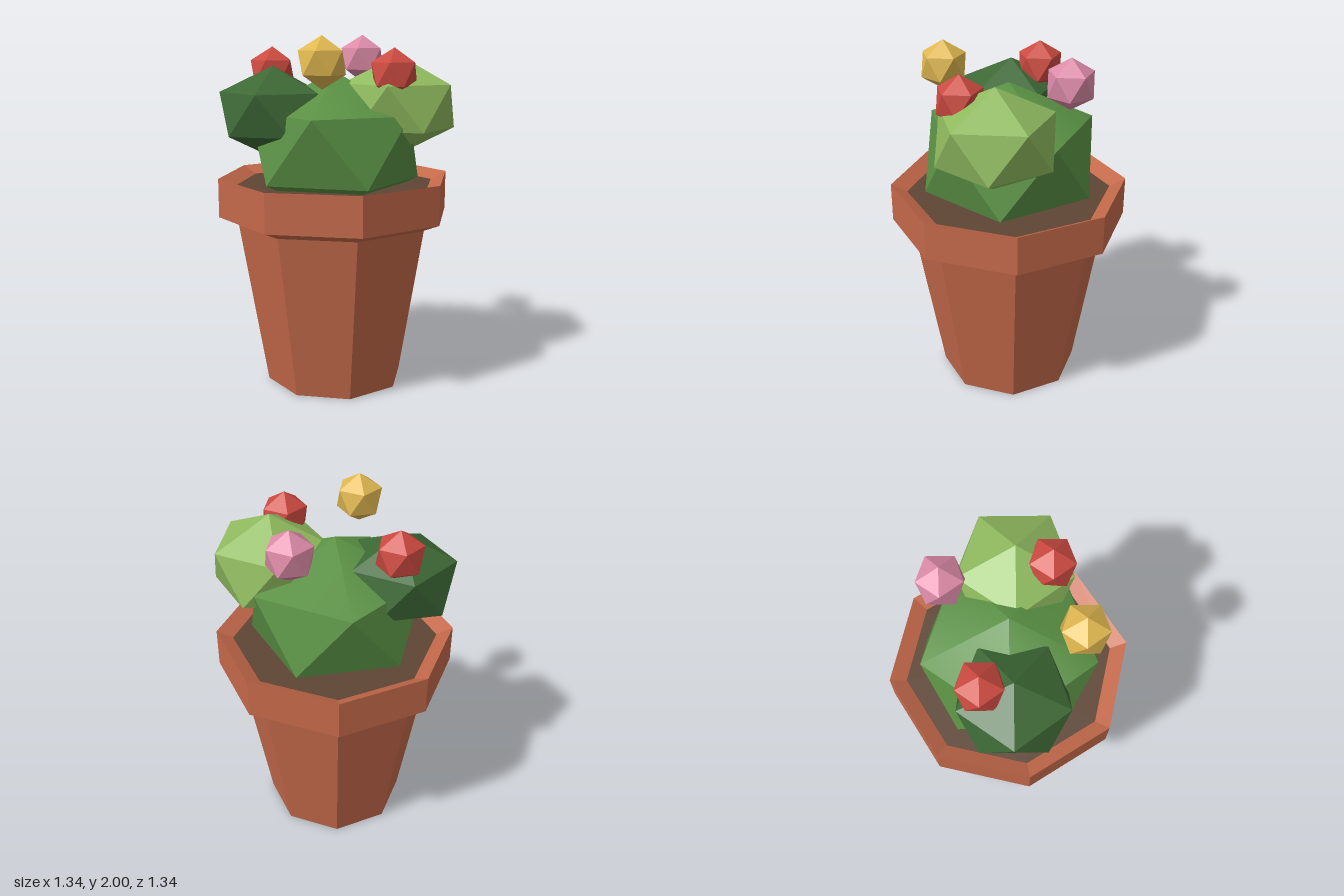
import * as THREE from 'three';
import { toCreasedNormals } from 'three/addons/utils/BufferGeometryUtils.js';
import { ConvexGeometry } from 'three/addons/geometries/ConvexGeometry.js';

const material = (name, color) => {
  const m = new THREE.MeshStandardMaterial({ color });
  m.name = name;
  return m;
};

// Twenty-sided ball with a corner at each pole; ring is the radius of its two five-corner rings
function facetedBall(ring, halfHeight) {
  const points = [new THREE.Vector3(0, halfHeight, 0), new THREE.Vector3(0, -halfHeight, 0)];
  for (let i = 0; i < 10; i++) {
    const a = (i * Math.PI) / 5;
    const y = (i % 2 ? -1 : 1) * halfHeight / Math.sqrt(5);
    points.push(new THREE.Vector3(Math.cos(a) * ring, y, Math.sin(a) * ring));
  }
  return new ConvexGeometry(points);
}

export function createModel() {
  const group = new THREE.Group();
  const add = (name, geometry, mat, x = 0, y = 0, z = 0) => {
    const mesh = new THREE.Mesh(geometry, mat);
    mesh.name = name;
    mesh.position.set(x, y, z);
    group.add(mesh);
  };

  const terracotta = material('terracotta', 0xc4694a);
  const earth = material('soil', 0x5e4634);
  const green = material('mid green', 0x5a9144);
  const darkGreen = material('dark green', 0x3d6835);
  const lightGreen = material('light green', 0x8fba5e);
  const red = material('red', 0xcc4a40);
  const pink = material('pink', 0xdd8ba8);
  const yellow = material('yellow', 0xe0b850);

  // Eight-sided pot: base, tapered wall, flared rim and sloping inner lip
  const profile = [[0, 0], [0.4, 0], [0.56, 0.945], [0.67, 0.99], [0.67, 1.21], [0.58, 1.165]]
    .map(([r, y]) => new THREE.Vector2(r, y));
  const pot = new THREE.LatheGeometry(profile, 8).toNonIndexed();
  pot.computeVertexNormals();
  add('pot', pot, terracotta);

  // Soil disc inside the rim
  add('soil', new THREE.CircleGeometry(0.58, 8).rotateX(-Math.PI / 2), earth, 0, 1.165, 0);

  // Foliage clumps; the largest has a softly shaded crown
  add('mainFoliage', toCreasedNormals(facetedBall(0.48, 0.417), 0.63), green, 0, 1.383, 0);
  add('leftSmallFoliage', facetedBall(0.3, 0.26), darkGreen, -0.27, 1.572, 0.22);
  add('rightSmallFoliage', facetedBall(0.32, 0.28), lightGreen, 0.31, 1.61, -0.18);

  // Flowers
  const flower = facetedBall(0.125, 0.14);
  add('redFlowerA', flower, red, -0.37, 1.795, 0.09);
  add('redFlowerB', flower, red, 0.38, 1.795, 0);
  add('pinkFlower', flower, pink, -0.05, 1.86, -0.38);
  add('yellowFlower', flower, yellow, 0.145, 1.86, 0.35);

  return group;
}
